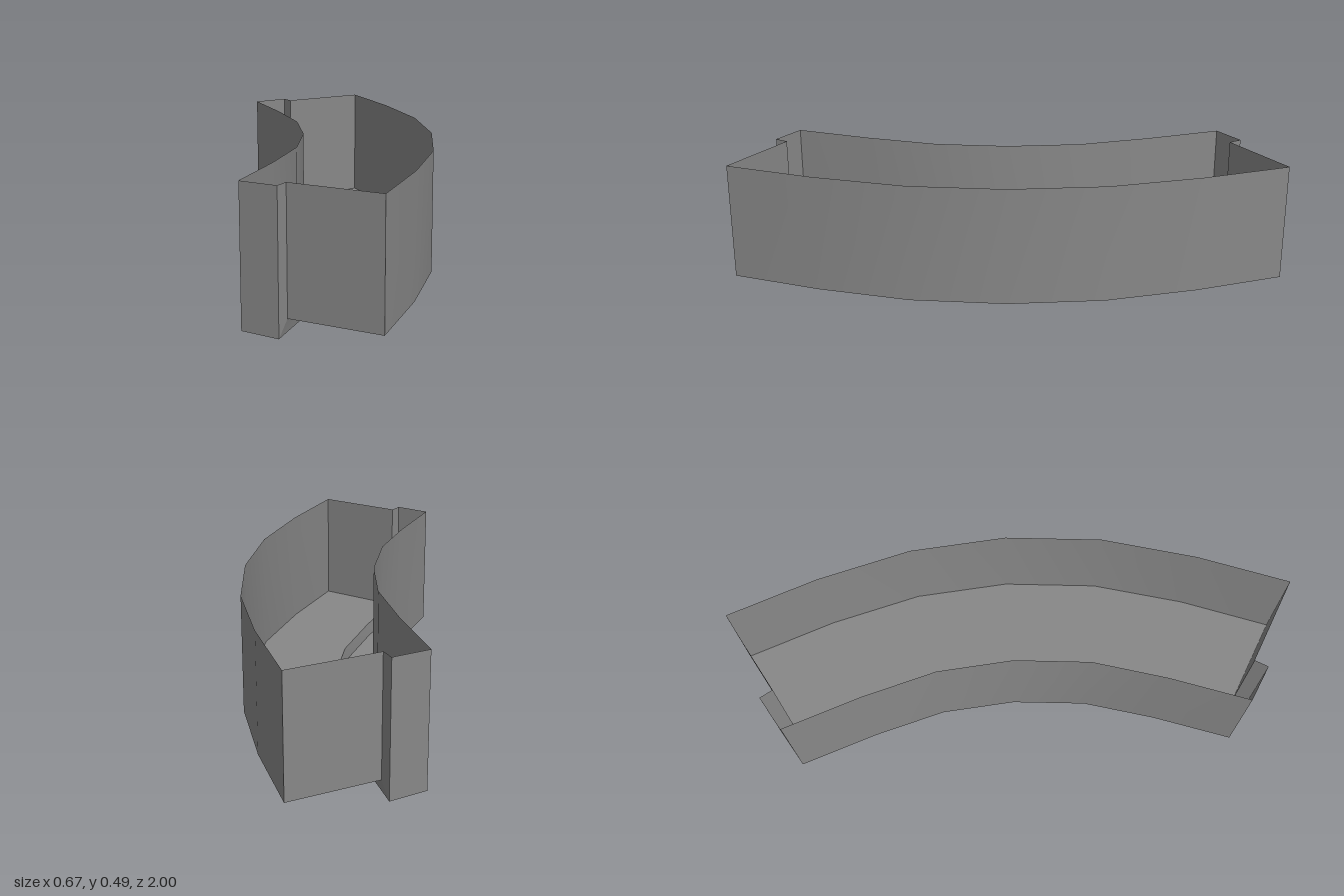
import * as THREE from 'three';

const TOP = 0.485, FLOOR = 0.058, LIP = 0.008;
const material = new THREE.MeshStandardMaterial({ color: 0x888888, side: THREE.DoubleSide });

// Mirror half an arc of [x, z] points (centre first) into a full one, running from +z to -z
const arc = half => [...half].reverse().concat(half.slice(1).map(([x, z]) => [x, -z]));
// Lift plan points to a height, either one value or one per point
const lift = (pts, y) => pts.map(([x, z], i) => [x, Array.isArray(y) ? y[i] : y, z]);

// Smooth ribbon of quads between two rows of points
function ribbon(name, a, b) {
  const geo = new THREE.BufferGeometry();
  geo.setAttribute('position', new THREE.Float32BufferAttribute([...a, ...b].flat(), 3));
  const n = a.length, index = [];
  for (let i = 0; i < n - 1; i++) index.push(i, n + i, i + 1, i + 1, n + i, n + i + 1);
  geo.setIndex(index);
  geo.computeVertexNormals();
  const mesh = new THREE.Mesh(geo, material);
  mesh.name = name;
  return mesh;
}

export function createModel() {
  const group = new THREE.Group();
  group.name = 'curvedTrough';

  const inner = arc([[-0.136, 0], [-0.16, 0.27], [-0.235, 0.53], [-0.333, 0.808]]);
  const lip = arc([[0.004, 0], [-0.023, 0.285], [-0.105, 0.58], [-0.216, 0.88]]);
  const step = arc([[0.007, 0], [-0.018, 0.285], [-0.098, 0.575], [-0.19, 0.835]]);
  const outer = arc([[0.333, 0], [0.303, 0.345], [0.213, 0.68], [0.096, 1]]);
  const keel = [0.011, 0.007, 0.003, 0, 0.003, 0.007, 0.011];

  // Long curved walls and floors; the channel wall leans slightly inwards
  group.add(
    ribbon('outerWall', lift(outer, TOP), lift(outer, FLOOR)),
    ribbon('innerWall', lift(inner, keel), lift(inner, TOP)),
    ribbon('troughFloor', lift(outer, FLOOR), lift(step, FLOOR)),
    ribbon('channelWall', lift(step, FLOOR), lift(lip, LIP)),
    ribbon('channelFloor', lift(lip, LIP), lift(inner, keel)),
  );

  // End panels: channel end, setback and trough end, at both ends
  for (const end of [0, inner.length - 1]) {
    const panel = (name, p, q, yp, yq) => {
      const pts = [p[end], q[end]], ys = [yp, yq];
      if (end) { pts.reverse(); ys.reverse(); }
      group.add(ribbon(name, lift(pts, TOP), lift(pts, ys)));
    };
    panel('channelEnd', inner, lip, keel[0], LIP);
    panel('setbackPanel', lip, step, LIP, FLOOR);
    panel('troughEnd', step, outer, FLOOR, FLOOR);
  }
  return group;
}
